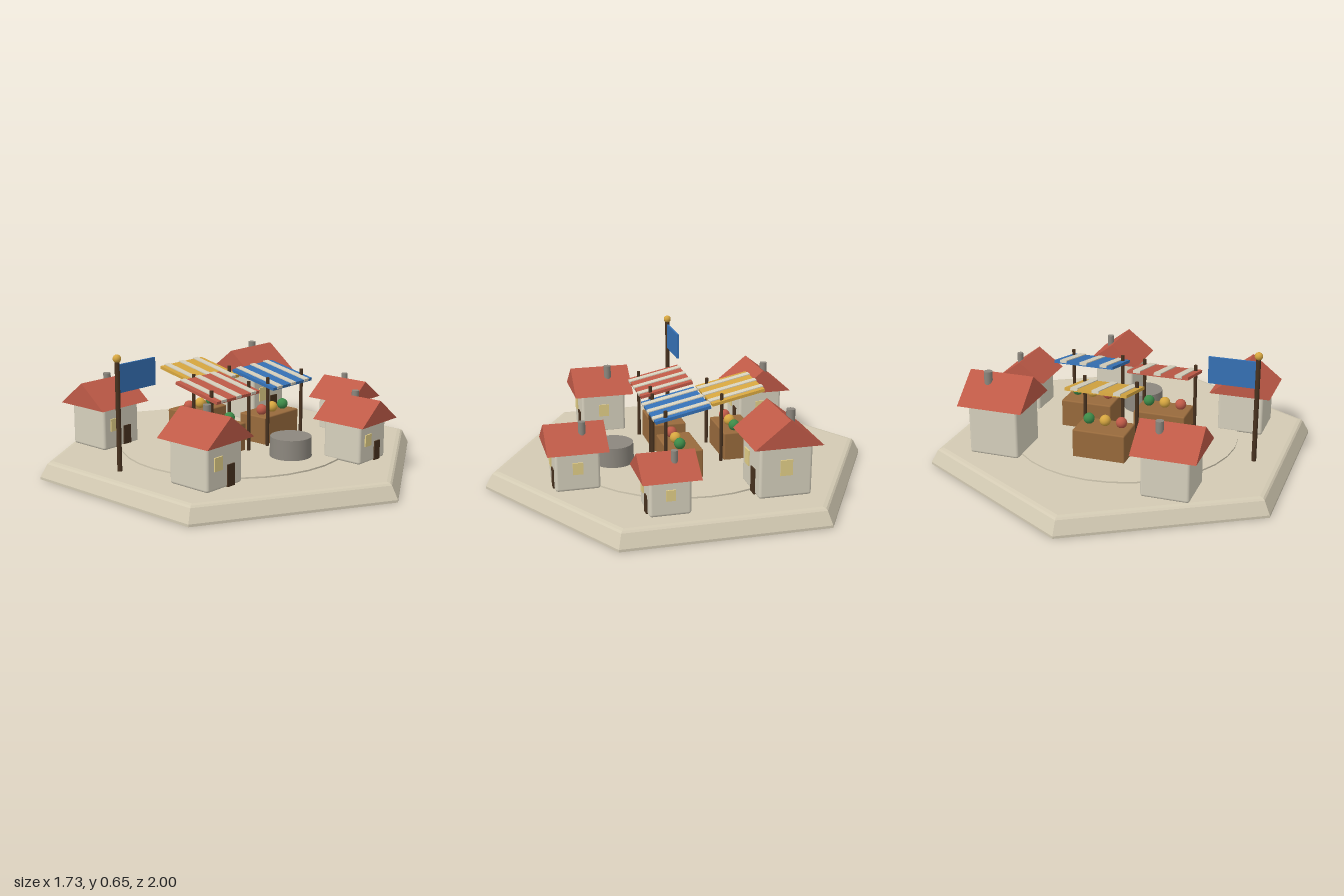
import * as THREE from 'three';
import { RoundedBoxGeometry } from 'three/addons/geometries/RoundedBoxGeometry.js';

const material = (name, color) => {
  const m = new THREE.MeshStandardMaterial({ color });
  m.name = name;
  return m;
};

export function createModel() {
  const stone = material('pale stone', 0xd3cab3);
  const plaster = material('plaster', 0xd6d0bd);
  const tile = material('red', 0xbf5a47);
  const blue = material('blue', 0x3571b5);
  const gold = material('gold', 0xd6a640);
  const wood = material('counter wood', 0x986a3c);
  const darkWood = material('dark wood', 0x48321f);
  const grey = material('grey stone', 0x8c877e);
  const green = material('green', 0x3d8a48);
  const glass = material('window glass', 0xe3cf88);

  const model = new THREE.Group();
  model.name = 'marketVillage';
  const GROUND = 0.086;

  const add = (parent, name, geometry, mat, x = 0, y = 0, z = 0) => {
    const mesh = new THREE.Mesh(geometry, mat);
    mesh.name = name;
    mesh.position.set(x, y, z);
    parent.add(mesh);
    return mesh;
  };
  const group = (name, x, y, z) => {
    const g = new THREE.Group();
    g.name = name;
    g.position.set(x, y, z);
    model.add(g);
    return g;
  };

  // Hexagonal base with sloping, softened rim
  const profile = [[0, 0], [1, 0], [1, 0.012], [0.965, 0.074], [0.955, 0.082], [0.935, GROUND], [0, GROUND]]
    .map(([r, y]) => new THREE.Vector2(r, y));
  const baseGeometry = new THREE.LatheGeometry(profile, 6).toNonIndexed();
  baseGeometry.computeVertexNormals();
  add(model, 'hexBase', baseGeometry, stone);

  // Slightly raised round plaza
  add(model, 'plaza', new THREE.CylinderGeometry(0.58, 0.58, 0.012, 32), stone, 0, GROUND + 0.002, 0);

  // Houses: centre x, centre z, width, wall height, ridge runs along x
  const houses = [
    [-0.405, -0.53, 0.236, 0.215, true],
    [0.53, -0.34, 0.26, 0.257, true],
    [-0.555, 0.315, 0.236, 0.215, false],
    [0.233, 0.587, 0.216, 0.195, false],
    [0.637, 0.233, 0.196, 0.175, false],
  ];
  for (const [x, z, w, h, ridgeAlongX] of houses) {
    const house = group('house', x, GROUND, z);
    add(house, 'walls', new RoundedBoxGeometry(w, h + 0.01, w, 3, 0.014), plaster, 0, (h + 0.01) / 2 - 0.002, 0);

    // Solid gabled roof
    const half = (w + 0.078) / 2;
    const gable = new THREE.Shape([
      new THREE.Vector2(-half, 0), new THREE.Vector2(half, 0), new THREE.Vector2(0, w * 0.52),
    ]);
    const roofGeometry = new THREE.ExtrudeGeometry(gable, { depth: half * 2, bevelEnabled: false });
    roofGeometry.translate(0, 0, -half);
    const roof = add(house, 'roof', roofGeometry, tile, 0, h, 0);
    if (ridgeAlongX) roof.rotation.y = Math.PI / 2;

    // Chimney just clears the ridge
    const chimneyTop = h + w * 0.52 + 0.016;
    add(house, 'chimney', new THREE.CylinderGeometry(0.082 * w, 0.082 * w, 0.1, 14), grey,
      0.21 * w, chimneyTop - 0.05, -0.155 * w);

    // Door and windows
    const front = w / 2 + 0.002;
    const pane = w * 0.23;
    const paneHeight = h * 0.3;
    add(house, 'door', new THREE.BoxGeometry(w * 0.2, h * 0.49, 0.009), darkWood, w * 0.155, h * 0.245, front);
    add(house, 'frontWindow', new THREE.BoxGeometry(pane, paneHeight, 0.009), glass, -w * 0.2, h * 0.575, front);
    add(house, 'sideWindow', new THREE.BoxGeometry(0.009, paneHeight, pane), glass, front, h * 0.575, 0);
  }

  // Market stalls: centre x, centre z, awning colour
  const stalls = [[-0.19, 0.06, tile], [0.02, -0.257, gold], [0.21, 0.078, blue]];
  for (const [x, z, cloth] of stalls) {
    const stall = group('marketStall', x, 0, z);
    add(stall, 'counter', new RoundedBoxGeometry(0.27, 0.148, 0.172, 2, 0.007), wood, 0, 0.162, -0.02);

    for (const side of [-1, 1]) {
      add(stall, 'awningPost', new THREE.CylinderGeometry(0.009, 0.009, 0.362, 10), darkWood, side * 0.137, 0.269, 0.083);
    }

    // Awning slopes down toward the front
    const awning = new THREE.Group();
    awning.name = 'awning';
    awning.position.y = 0.429;
    awning.rotation.x = 0.21;
    stall.add(awning);
    add(awning, 'awningCloth', new THREE.BoxGeometry(0.315, 0.015, 0.278), cloth);
    for (const i of [-1, 0, 1]) {
      add(awning, 'awningStripe', new THREE.BoxGeometry(0.036, 0.014, 0.286), plaster, i * 0.108, 0.005, 0);
    }

    // Produce on the counter
    [tile, gold, green].forEach((mat, i) => {
      add(stall, 'produce', new THREE.SphereGeometry(0.028, 18, 12), mat, (i - 1) * 0.085, 0.26, 0);
    });
  }

  // Round stone well
  add(model, 'well', new THREE.CylinderGeometry(0.102, 0.105, 0.108, 28), grey, 0.02, 0.14, 0.355);

  // Flagpole with ball and flag
  const flagpole = group('flagpole', -0.7, 0, -0.108);
  add(flagpole, 'pole', new THREE.CylinderGeometry(0.012, 0.012, 0.535, 12), darkWood, 0, 0.353, 0);
  add(flagpole, 'poleBall', new THREE.SphereGeometry(0.02, 16, 12), gold, 0, 0.63, 0);
  add(flagpole, 'flag', new THREE.BoxGeometry(0.235, 0.136, 0.01), blue, 0.125, 0.533, 0);

  return model;
}
